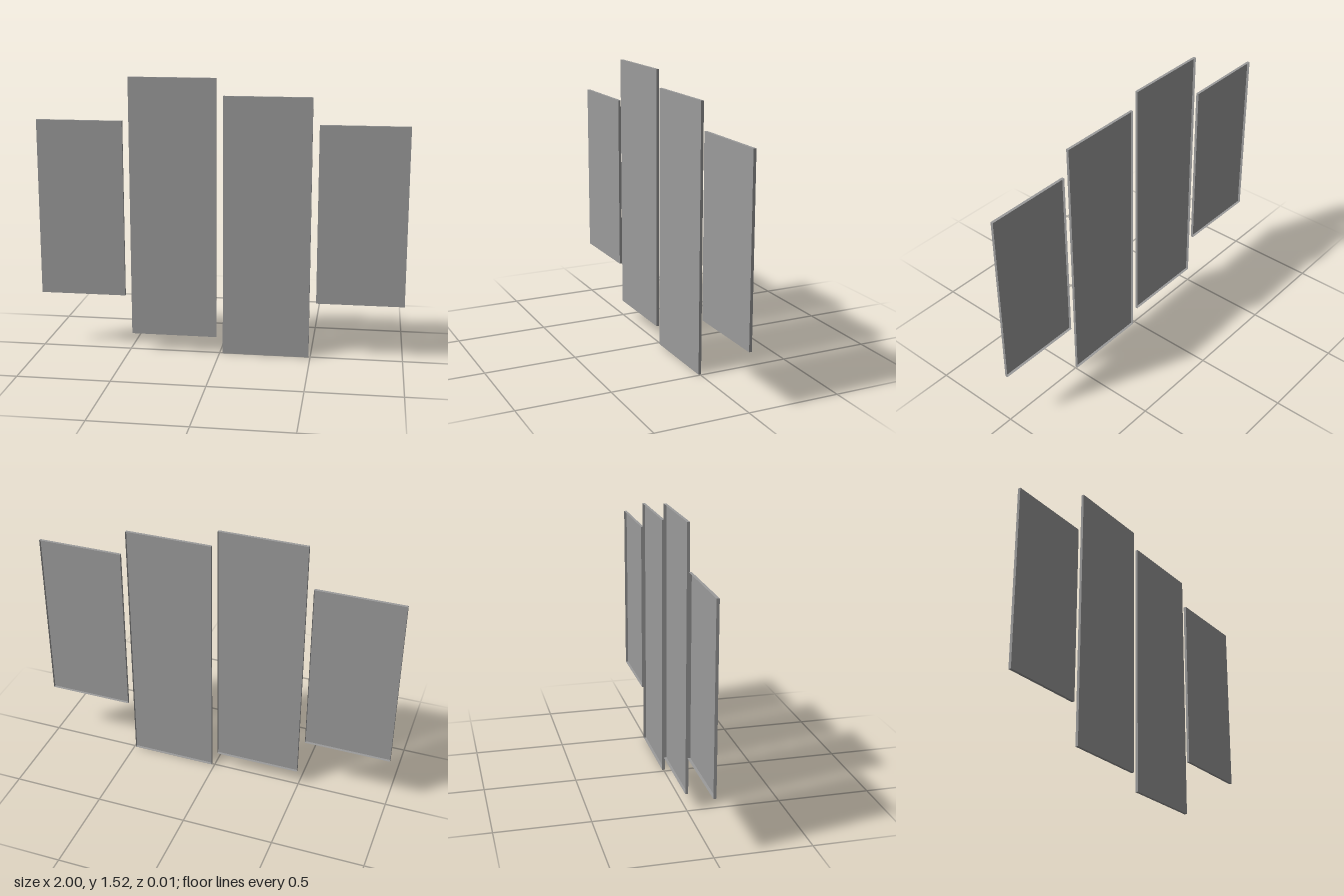
import * as THREE from 'three';

const WIDTH = 0.473, DEPTH = 0.015, PITCH = 0.509;

// Shallow tray: a box whose back (-z) face is left open
function trayGeometry(height) {
  const geometry = new THREE.BoxGeometry(WIDTH, height, DEPTH);
  geometry.setIndex(Array.from(geometry.index.array).slice(0, 30));
  geometry.clearGroups();
  return geometry;
}

export function createModel() {
  const group = new THREE.Group();
  group.name = 'fourPanelWallArt';
  const material = new THREE.MeshStandardMaterial({ color: 0x9b9b9b, side: THREE.DoubleSide });

  // Panels from the model's right (-x) to its left (+x): bottom and top heights
  const panels = [
    ['outerRightPanel', 0.31, 1.281],
    ['innerRightPanel', 0.092, 1.517],
    ['innerLeftPanel', 0, 1.424],
    ['outerLeftPanel', 0.31, 1.281],
  ];
  panels.forEach(([name, bottom, top], i) => {
    const panel = new THREE.Mesh(trayGeometry(top - bottom), material);
    panel.name = name;
    panel.position.set((i - 1.5) * PITCH, (bottom + top) / 2, 0);
    group.add(panel);
  });
  return group;
}
